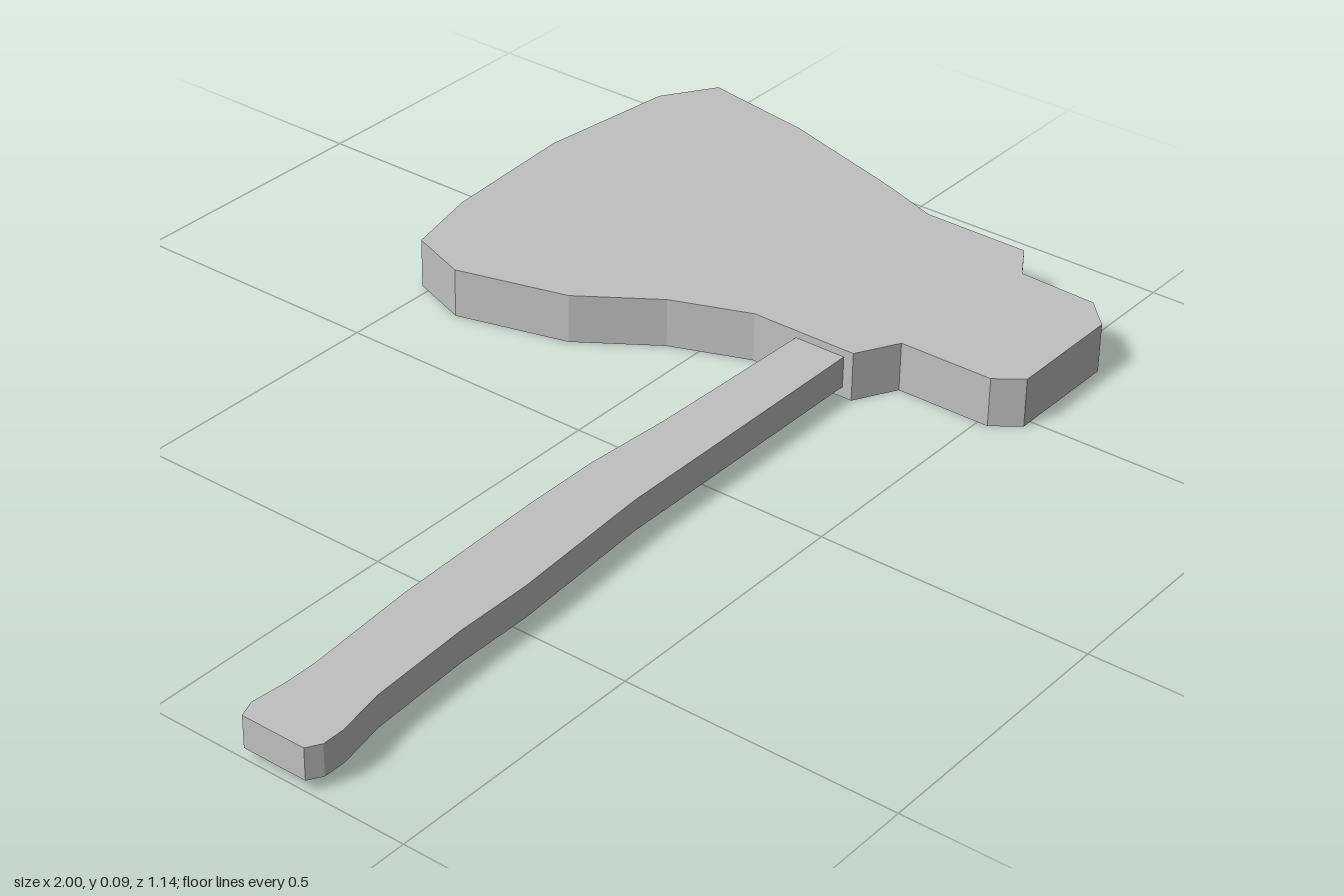
import * as THREE from 'three';

// Extrude a plan outline of [x, z] points upward from y0 to y1
function slab(name, outline, y0, y1, material) {
  const shape = new THREE.Shape(outline.map(([x, z]) => new THREE.Vector2(x, -z)));
  const geometry = new THREE.ExtrudeGeometry(shape, { depth: y1 - y0, bevelEnabled: false });
  geometry.rotateX(-Math.PI / 2).translate(0, y0, 0);
  const mesh = new THREE.Mesh(geometry, material);
  mesh.name = name;
  return mesh;
}

export function createModel() {
  const grey = new THREE.MeshStandardMaterial({ color: 0xc0c0c0, flatShading: true });
  grey.name = 'plain grey';

  // Flared cutting edge at -z, narrow poll at +z
  const head = [
    [0.153, -0.405], [0.195, -0.52], [0.345, -0.555], [0.625, -0.573], [0.9, -0.54],
    [1, -0.475], [0.962, -0.255], [0.885, 0], [0.842, 0.12], [0.84, 0.325],
    [0.77, 0.367], [0.763, 0.517], [0.71, 0.568], [0.48, 0.568], [0.443, 0.52],
    [0.443, 0.34], [0.364, 0.297], [0.364, 0.09], [0.307, -0.055], [0.21, -0.195],
  ];

  // Gently bowed grip with a swollen butt at -x
  const handle = [
    [-1, 0.19], [-0.968, 0.178], [-0.9, 0.184], [-0.84, 0.184], [-0.62, 0.166],
    [-0.307, 0.156], [-0.157, 0.156], [0.013, 0.168], [0.364, 0.178], [0.364, 0.278],
    [-0.2, 0.278], [-0.49, 0.297], [-0.64, 0.297], [-0.84, 0.309], [-0.933, 0.327],
    [-0.975, 0.327], [-1, 0.312],
  ];

  const axe = new THREE.Group();
  axe.name = 'axe';
  axe.add(slab('axeHead', head, 0, 0.093, grey), slab('handle', handle, 0.02, 0.079, grey));
  return axe;
}
